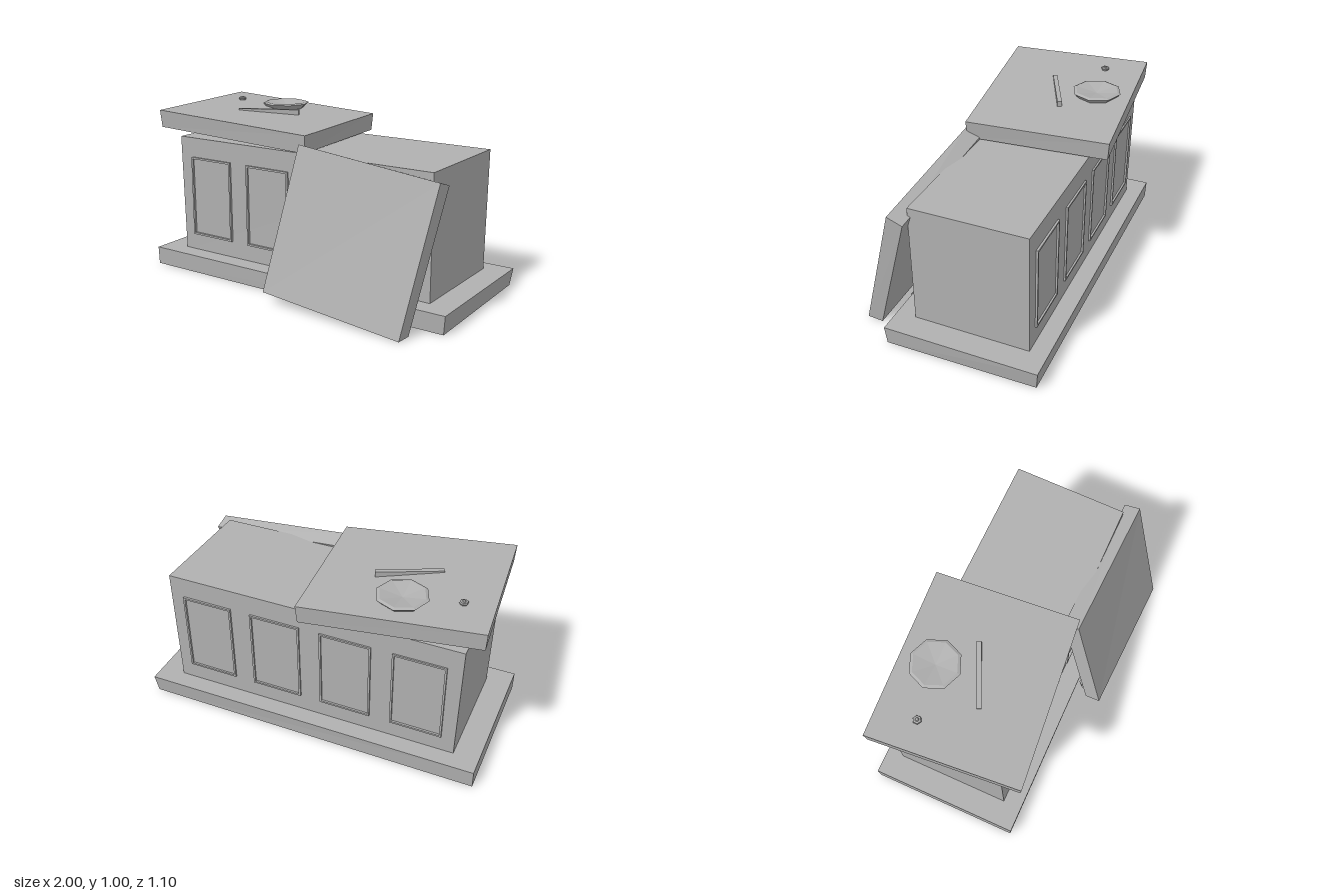
import * as THREE from 'three';

const stone = new THREE.MeshStandardMaterial({ color: 0xb0b0b0 });
stone.name = 'grey stone';

function flat(geo) {
  const g = geo.index ? geo.toNonIndexed() : geo;
  g.computeVertexNormals();
  return g;
}

// Box whose eight corners are moved; order: x fastest, then y, then z (low to high)
function block(corners) {
  const g = new THREE.BoxGeometry(2, 2, 2);
  const p = g.attributes.position;
  for (let i = 0; i < p.count; i++) {
    const k = (p.getX(i) > 0 ? 1 : 0) + (p.getY(i) > 0 ? 2 : 0) + (p.getZ(i) > 0 ? 4 : 0);
    p.setXYZ(i, ...corners[k]);
  }
  return flat(g);
}

// Faceted turned shape
function turned(points, sides) {
  return flat(new THREE.LatheGeometry(points.map(([r, y]) => new THREE.Vector2(r, y)), sides));
}

// Thin rectangular moulding with an open middle
function frameGeometry(w, h, t, depth) {
  const rect = (Type, a, b) => new Type([
    new THREE.Vector2(-a, -b), new THREE.Vector2(a, -b), new THREE.Vector2(a, b), new THREE.Vector2(-a, b)]);
  const s = rect(THREE.Shape, w / 2, h / 2);
  s.holes.push(rect(THREE.Path, w / 2 - t, h / 2 - t));
  return new THREE.ExtrudeGeometry(s, { depth, bevelEnabled: false });
}

export function createModel() {
  const model = new THREE.Group();
  model.name = 'brokenTomb';
  const add = (name, geo, x = 0, y = 0, z = 0) => {
    const m = new THREE.Mesh(geo, stone);
    m.name = name;
    m.position.set(x, y, z);
    model.add(m);
    return m;
  };

  // Plinth and chest, both slightly out of true
  add('plinth', block([
    [-1, 0, -0.53], [0.985, 0, -0.53], [-1, 0.107, -0.535], [1, 0.103, -0.54],
    [-1, 0, 0.34], [0.985, 0, 0.34], [-1, 0.108, 0.345], [0.995, 0.108, 0.348]]));
  add('chest', block([
    [-0.855, 0.09, -0.435], [0.855, 0.09, -0.437], [-0.865, 0.818, -0.44], [0.862, 0.818, -0.435],
    [-0.855, 0.09, 0.235], [0.85, 0.09, 0.235], [-0.865, 0.815, 0.24], [0.85, 0.813, 0.238]]));

  // Four panel mouldings on each long side
  const frame = frameGeometry(0.3, 0.488, 0.011, 0.018);
  for (const x of [-0.63, -0.21, 0.21, 0.63]) {
    add('frontPanelFrame', frame, x, 0.452, 0.232);
    add('backPanelFrame', frame, x, 0.452, -0.43).rotation.y = Math.PI;
  }

  // Half of the lid still lying on the chest
  add('lyingLidHalf', block([
    [-0.965, 0.895, -0.47], [0.015, 0.825, -0.545], [-0.97, 0.995, -0.475], [0.022, 0.928, -0.552],
    [-0.895, 0.888, 0.365], [0.075, 0.823, 0.275], [-0.9, 0.99, 0.375], [0.085, 0.925, 0.28]]));

  // Half of the lid leaning against the front
  add('leaningLidHalf', block([
    [-0.035, 0.045, 0.425], [0.845, 0, 0.455], [0.06, 0.835, 0.2], [0.93, 0.755, 0.222],
    [-0.04, 0.068, 0.515], [0.84, 0.003, 0.548], [0.05, 0.875, 0.29], [0.925, 0.785, 0.315]]));

  // Offerings: shallow dish, stub of a candle holder, stick
  add('dish', turned([[0, 0.95], [0.115, 0.955], [0.145, 0.985], [0.128, 0.992], [0, 0.97]], 8), -0.475, 0, -0.31);
  add('smallCup', turned([[0, 0.97], [0.016, 0.975], [0.025, 0.992], [0.022, 1.0], [0.012, 1.0], [0.008, 1.005], [0, 1.005]], 6),
    -0.785, 0, -0.26);
  const stick = add('stick', new THREE.BoxGeometry(0.37, 0.035, 0.026), -0.432, 0.961, -0.078);
  stick.rotation.y = 0.434;

  // Rubble under the leaning half
  const pebble = new THREE.DodecahedronGeometry(1);
  [[0.055, 0.385, 0.042, 0.3], [0.24, 0.39, 0.05, 1.1], [0.29, 0.365, 0.025, 2], [0.5, 0.37, 0.026, 0.7], [0.58, 0.385, 0.032, 1.6]]
    .forEach(([x, z, r, turn]) => {
      const m = add('rubble', pebble, x, 0.017, z);
      m.scale.set(r, 0.018, r * 0.9);
      m.rotation.y = turn;
    });

  return model;
}
